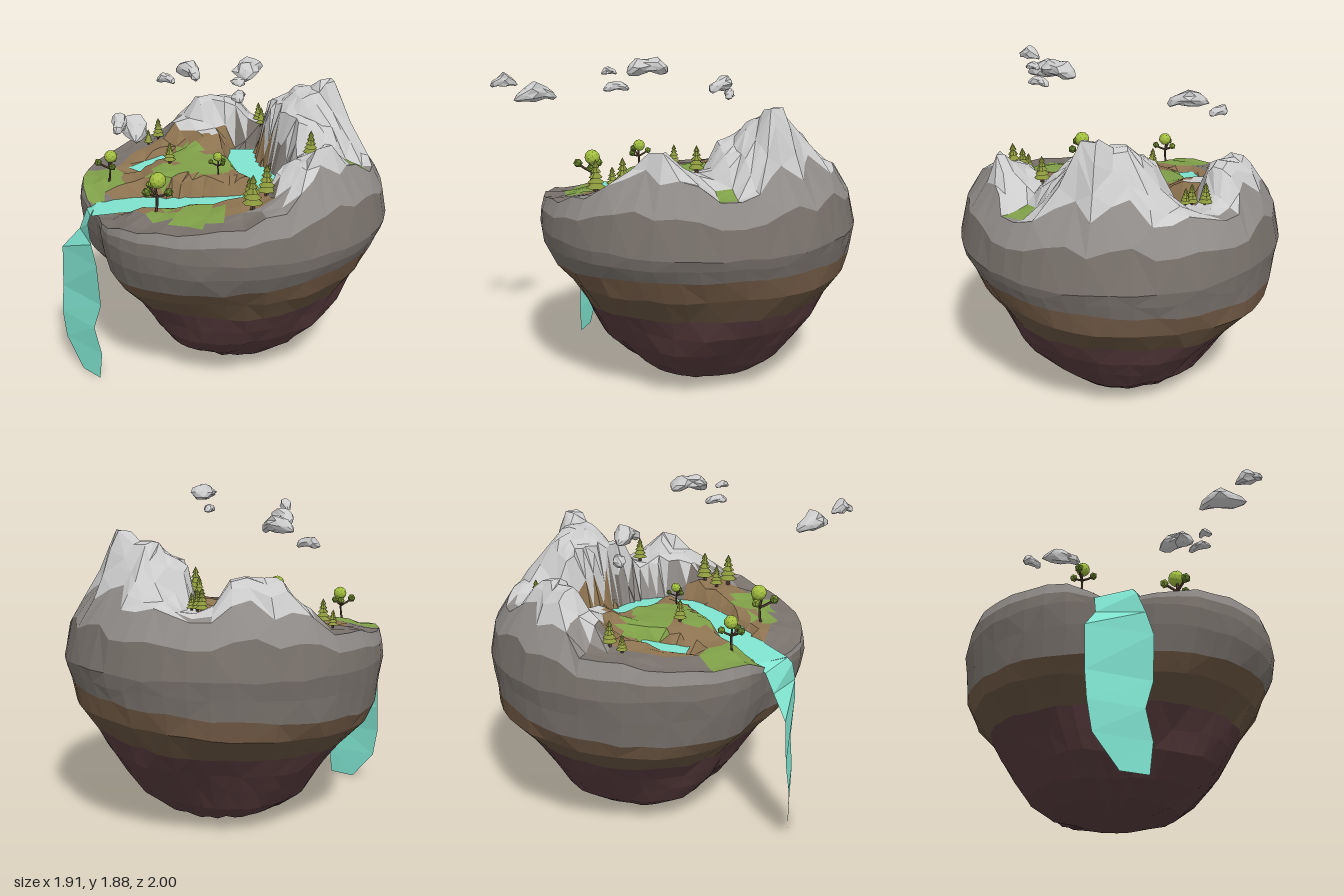
import * as THREE from 'three';

const V = (x, y, z) => new THREE.Vector3(x, y, z);
const mat = (color, side = THREE.FrontSide) => new THREE.MeshStandardMaterial({ color, flatShading: true, side });
const hash = (a, b = 0) => { const s = Math.sin(a * 127.1 + b * 311.7) * 43758.5453; return (s - Math.floor(s)) * 2 - 1; };

const GREY = 0xcccccc, WATER = 0x7fe3cf;
const CENTRE = { x: 0.035, z: -0.09 }, RADIUS = 0.915, SEGMENTS = 48;
const radiusAt = y => RADIUS * (1 - 1.37 * (y - .95) ** 2); // upper cliff curve

// Terrain control points: x, z, height
const LAND = [
  // rim
  .85, -.1, 1.25, .8, .05, 1.21, .75, .4, 1.26, .6, .6, 1.24, .35, .7, 1.19, .1, .72, 1.13, -.2, .7, 1.09,
  -.45, .6, 1.06, -.62, .45, 1.01, -.85, .05, 1.07, -.85, -.2, 1.08, -.75, -.45, 1.1, -.5, -.7, 1.14,
  -.2, -.92, 1.23, .2, -.92, 1.23, .6, -.72, 1.26, .8, -.4, 1.28,
  // peaks and their slopes
  .6, -.28, 1.68, .44, -.36, 1.6, .3, -.36, 1.5, .43, -.1, 1.47, .56, .36, 1.47, .45, .57, 1.27, -.18, -.7, 1.45,
  -.03, -.7, 1.44, -.3, -.65, 1.3, .2, -.66, 1.25, .49, .11, 1.31, .72, .06, 1.23,
  .75, -.25, 1.43, .62, -.5, 1.42, .68, .33, 1.37, .55, .5, 1.4, -.1, -.83, 1.36, .6, -.08, 1.42, .5, -.22, 1.58, .43, .3, 1.35,
  // plateau
  -.3, -.05, 1.18, 0, 0, 1.17, -.1, -.25, 1.18, .13, -.05, 1.15, -.62, 0, 1.11, -.62, -.25, 1.11,
  -.35, -.45, 1.16, -.55, -.5, 1.14, -.1, .5, 1.13, -.4, .45, 1.09, .17, .5, 1.17, -.13, -.52, 1.25,
];

// Watercourses: centre line and half width
const STREAMS = [
  { name: 'river', w: .11, path: [V(-.73, 1.015, .23), V(-.5, 1.04, .22), V(-.25, 1.06, .25), V(0, 1.08, .27),
    V(.22, 1.09, .22), V(.28, 1.1, .06), V(.18, 1.11, -.15), V(.1, 1.12, -.35), V(.09, 1.13, -.52)] },
  { name: 'pond', w: .05, path: [V(-.56, 1.1, -.18), V(-.47, 1.11, -.28), V(-.38, 1.12, -.37)] },
];
for (const s of STREAMS) {
  s.curve = new THREE.CatmullRomCurve3(s.path);
  s.points = s.curve.getSpacedPoints(36);
}

// Height of the land: inverse-distance blend with the stream beds cut in
function height(x, z) {
  let sum = 0, total = 0;
  for (let i = 0; i < LAND.length; i += 3) {
    const w = 1 / Math.pow((x - LAND[i]) ** 2 + (z - LAND[i + 1]) ** 2 + .0015, 1.8);
    sum += w * LAND[i + 2];
    total += w;
  }
  let h = sum / total;
  for (const s of STREAMS) {
    let best = 9, level = 0;
    for (const p of s.points) {
      const d = Math.hypot(x - p.x, z - p.z);
      if (d < best) { best = d; level = p.y; }
    }
    h = THREE.MathUtils.lerp(level - .04, h, THREE.MathUtils.smoothstep(best, s.w * .6, s.w * 1.45));
  }
  return h;
}

// Flat-shaded mesh from a list of triangle corners
function triMesh(name, points, material) {
  const geo = new THREE.BufferGeometry().setFromPoints(points);
  geo.computeVertexNormals();
  const mesh = new THREE.Mesh(geo, material);
  mesh.name = name;
  return mesh;
}

const LAYERS = { deepRock: 0x563a3c, earthBand: 0x6f5844, lowerEarth: 0x66523f, cliff: 0x78716b, upperCliff: 0x8f8b88,
  mountain: GREY, grass: 0x7f9f48, soil: 0x8d7350 };
// Grass patches: x, z, radius
const GRASS = [[-.8, -.03, .2], [-.12, -.08, .17], [-.28, -.28, .14], [-.1, .56, .14], [-.33, .02, .1], [.74, .06, .07], [-.3, .5, .07]];

function topLayer(c) {
  const r = Math.hypot(c.x - CENTRE.x, c.z - CENTRE.z);
  if (GRASS.some(([x, z, g]) => Math.hypot(c.x - x, c.z - z) < g) && c.y < 1.27) return 'grass';
  if (c.y > (c.x > .35 ? 1.225 : 1.25)) return 'mountain';
  if (r > .7) return c.y > 1.17 ? 'upperCliff' : 'cliff';
  if (c.x < .26 && c.z > -.58) return 'soil';
  return c.x > .3 ? 'upperCliff' : 'cliff';
}

// Island body: rings run from the underside up to the rim, then inwards over the land
function island() {
  // y, radius, tilt, shift in x, shift in z
  const shell = [[.01, 0, 0, .02, -.04], [.025, .2, 0, .01, -.04], [.07, .36, 0, .01, -.04], [.16, .48, .01, .01, -.04],
    [.29, .585, .02, .02, -.02], [.4, .655, .03, .03, -.03], [.515, .72, .035, .02, -.04],
    [.65, .825, .05, .01, -.045], [.75, .87, .07, 0, -.02], [.86, .9, .03, 0, 0], [.95, .915, 0, 0, 0]];
  const layers = ['deepRock', 'deepRock', 'deepRock', 'deepRock', 'deepRock', 'deepRock', 'lowerEarth', 'earthBand', 'cliff', 'cliff', 'cliff', 'upperCliff'];
  const inner = 15, rings = [];
  const ring = fn => rings.push(Array.from({ length: SEGMENTS }, (_, i) => {
    const a = i / SEGMENTS * Math.PI * 2;
    const dent = 1 - .1 * Math.exp(-(((a - 2.7) / .25) ** 2)); // notch behind the waterfall
    return fn(Math.cos(a), Math.sin(a), i, dent, a);
  }));
  const rimHeight = (c, s) => height(CENTRE.x + c * .83, CENTRE.z + s * .83);

  shell.forEach(([y, r, tilt, dx, dz], k) => ring((c, s, i, dent, a) => {
    const lump = k < 8 ? .016 * Math.sin(5 * a + k * 1.3) + .009 * hash(i, k) : .004 * hash(i, k);
    const rr = r * dent * (1 + lump);
    return V(CENTRE.x + dx + c * rr, y + c * tilt + (k > 1 ? hash(k, i) * .008 : 0), CENTRE.z + dz + s * rr);
  }));
  ring((c, s, i, dent) => {
    const y = .95 + (rimHeight(c, s) - .95) * .55, r = radiusAt(y) * dent;
    return V(CENTRE.x + c * r, y, CENTRE.z + s * r);
  });
  for (let k = 0; k <= inner; k++) ring((c, s, i, dent) => {
    const y = rimHeight(c, s), t = 1 - k / inner;
    const r = radiusAt(y) * dent * t * (k && k < inner ? 1 + hash(i, k + 40) * .02 : 1);
    const x = CENTRE.x + c * r, z = CENTRE.z + s * r;
    return V(x, k ? height(x, z) : y, z);
  });

  const bins = {};
  for (let k = 0; k + 1 < rings.length; k++) for (let i = 0; i < SEGMENTS; i++) {
    const j = (i + 1) % SEGMENTS;
    const a = rings[k][i], b = rings[k][j], c = rings[k + 1][i], d = rings[k + 1][j];
    const tris = (i + k) % 2 ? [[a, c, b], [b, c, d]] : [[a, c, d], [a, d, b]];
    for (const t of tris) {
      if (new THREE.Triangle(...t).getArea() < 1e-7) continue;
      const mid = V(0, 0, 0).add(t[0]).add(t[1]).add(t[2]).divideScalar(3);
      const layer = layers[k] ?? topLayer(mid);
      (bins[layer] ??= []).push(...t);
    }
  }
  const g = new THREE.Group();
  g.name = 'island';
  for (const n in bins) g.add(triMesh(n, bins[n], mat(LAYERS[n])));
  return g;
}

// Sheet of water between pairs of edge points
function waterSheet(name, rows) {
  const pts = [];
  for (let i = 0; i + 1 < rows.length; i++) {
    const [a, b] = rows[i], [c, d] = rows[i + 1];
    pts.push(a, b, c, b, d, c);
  }
  return triMesh(name, pts, mat(WATER, THREE.DoubleSide));
}

function stream(s) {
  const n = 22;
  return waterSheet(s.name, Array.from({ length: n + 1 }, (_, i) => {
    const p = s.curve.getPointAt(i / n), t = s.curve.getTangentAt(i / n);
    const side = V(t.z, 0, -t.x).normalize().multiplyScalar(-s.w * 1.12);
    return [p.clone().add(side), p.clone().sub(side)];
  }));
}

function waterfall() {
  // back edge x, z; front edge x, z; y
  const rows = [[-.73, .11, -.73, .35, 1.015], [-.79, .16, -.74, .38, .98], [-.83, .19, -.72, .42, .87], [-.94, .19, -.69, .45, .75],
    [-.95, .2, -.68, .44, .5], [-.96, .22, -.73, .42, .34], [-.94, .24, -.69, .44, .18], [-.83, .33, -.71, .43, .01]];
  return waterSheet('waterfall', rows.map(([x, z, u, w, y]) => [V(x, y, z), V(u, y, w)]));
}

function part(name, geo, color, x, y, z) {
  const m = new THREE.Mesh(geo, mat(color));
  m.name = name;
  m.position.set(x, y, z);
  return m;
}

// Conifer: trunk with stacked cones
function conifer(x, z, h) {
  const g = new THREE.Group();
  g.name = 'conifer';
  g.add(part('trunk', new THREE.CylinderGeometry(h * .06, h * .08, h * .3, 6), 0x5a4436, 0, h * .1, 0));
  for (let i = 0; i < 5; i++) {
    const r = h * (.29 - i * .045);
    g.add(part('branches', new THREE.ConeGeometry(r, h * .22, 8), 0x8a963c, 0, h * (.28 + i * .15), 0));
  }
  g.position.set(x, height(x, z), z);
  return g;
}

// Leafy tree: bent trunk, one large and three small crowns
function leafyTree(x, z, h, turn) {
  const g = new THREE.Group();
  g.name = 'leafyTree';
  const limb = (...p) => g.add(part('limb', new THREE.TubeGeometry(new THREE.CatmullRomCurve3(p), 4, h * .035, 5), 0x5a4436, 0, 0, 0));
  limb(V(0, -.02, 0), V(h * .08, h * .3, 0), V(h * .02, h * .5, 0), V(h * .1, h * .8, 0));
  const crowns = [[.1, .8, 0, .21, 0xa3c040], [-.3, .62, .08, .13, 0x6b8530], [.2, .55, .3, .12, 0x6b8530], [.12, .6, -.32, .12, 0x88a438]];
  crowns.forEach(([cx, cy, cz, r, color], i) => {
    if (i) limb(V(h * .05, h * .4, 0), V(cx * h * .6, h * (cy - .1), cz * h * .6), V(cx * h, cy * h, cz * h));
    g.add(part('crown', new THREE.IcosahedronGeometry(r * h, i ? 0 : 1), color, cx * h, cy * h, cz * h));
  });
  g.position.set(x, height(x, z), z);
  g.rotation.y = turn;
  return g;
}

// Cloud: one faceted bean, arched along its length and dented by a rule
function cloud(x, y, z, hx, hy, hz, yaw, seed) {
  const geo = new THREE.IcosahedronGeometry(1, 1), p = geo.attributes.position;
  for (let i = 0; i < p.count; i++) {
    const [a, b, c] = [p.getX(i), p.getY(i), p.getZ(i)].map(v => Math.round(v * 1000) / 1000);
    const k = 1 + .16 * hash(a * 3 + b * 7 + seed, c * 5);
    const waist = .82 + .18 * Math.cos(c * 5 + seed);
    p.setXYZ(i, a * k * waist * hx + .2 * hx * Math.sin(c * 3 + seed), (b * k * waist + .35 - .7 * c * c) * hy, c * hz);
  }
  geo.computeVertexNormals();
  const m = part('cloud', geo, GREY, x, y, z);
  m.rotation.y = yaw;
  return m;
}

export function createModel() {
  const model = new THREE.Group();
  model.name = 'floatingIsland';
  model.add(island(), waterfall(), ...STREAMS.map(stream));

  const conifers = [[-.46, -.59, .14], [-.52, -.55, .1], [.18, -.72, .13], [.2, -.65, .12], [.23, -.63, .1], [-.33, -.09, .13],
    [.49, .11, .15], [.25, .44, .18], [.16, .47, .14], [.18, .57, .19]];
  for (const c of conifers) model.add(conifer(...c));
  const trees = [[-.68, .02, .18, 0], [-.35, .45, .22, .8], [-.03, .07, .13, 2]];
  for (const t of trees) model.add(leafyTree(...t));

  const clouds = [[-.24, 1.665, -.37, .06, .055, .12, .6], [-.39, 1.585, -.49, .035, .035, .065, 1.2], [.14, 1.83, .25, .08, .055, .12, 0],
    [.1, 1.73, .42, .04, .03, .075, 0], [.1, 1.815, .46, .04, .025, .045, 0], [-.4, 1.645, .75, .07, .06, .135, .15], [-.44, 1.72, .92, .04, .045, .08, 0]];
  clouds.forEach((c, i) => model.add(cloud(...c, i + 1)));
  return model;
}
